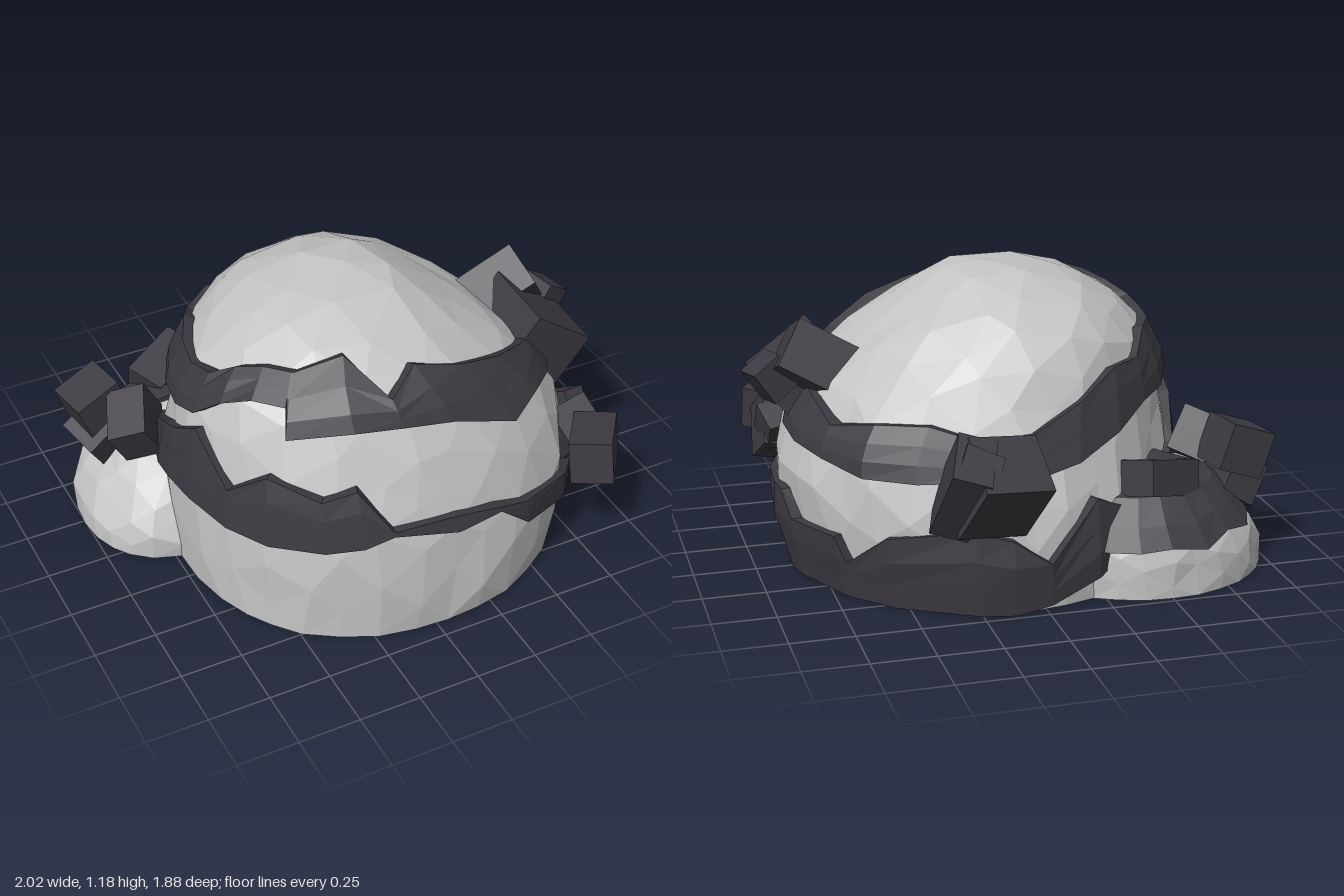
import * as THREE from 'three';
import { mergeVertices } from 'three/addons/utils/BufferGeometryUtils.js';

const rockGrey = new THREE.MeshStandardMaterial({ color: 0xc5c5c5, flatShading: true });
rockGrey.name = 'rock grey';
const darkStone = new THREE.MeshStandardMaterial({ color: 0x3d3b42, flatShading: true });
darkStone.name = 'dark stone';

// Outlines by height: [y, xMin, xMax, zMin, zMax]; roundness every 45 degrees, low and high
const BOULDER = {
  rows: [
    [0, -0.73, 0.83, -0.71, 0.93], [0.2, -0.74, 0.87, -0.73, 0.94], [0.4, -0.73, 0.86, -0.69, 0.92],
    [0.6, -0.71, 0.81, -0.61, 0.88], [0.8, -0.67, 0.67, -0.53, 0.79], [0.95, -0.59, 0.49, -0.45, 0.71],
    [1.05, -0.47, 0.33, -0.36, 0.57], [1.12, -0.34, 0.24, -0.22, 0.45], [1.165, -0.18, 0.16, -0.09, 0.31],
    [1.18, 0, 0.02, 0.1, 0.12],
  ],
  lowPlan: [1, 1.04, 1, 1.05, 1, 0.96, 0.99, 0.97],
  highPlan: [1, 1.08, 1, 1.05, 1, 0.97, 1, 1.08],
  detail: 5, seed: 7,
};
const LOBE = {
  rows: [
    [0, -1, 0, -0.73, 0.15], [0.1, -0.99, 0, -0.74, 0.15], [0.2, -0.93, -0.04, -0.72, 0.1],
    [0.3, -0.84, -0.1, -0.66, 0.04], [0.38, -0.75, -0.2, -0.57, -0.03],
    [0.43, -0.65, -0.33, -0.45, -0.15], [0.45, -0.51, -0.49, -0.31, -0.29],
  ],
  lowPlan: [1, 1, 1, 1.11, 1, 1, 1, 1],
  highPlan: [1, 1, 1, 1.05, 1, 1, 1, 1],
  detail: 4, seed: 23,
};

function seeded(seed) {
  return () => {
    seed = (seed * 16807) % 2147483647;
    return seed / 2147483647;
  };
}

// Point on a rock at angle a (degrees, 0 = +x, 90 = +z) and height y, pushed out by off
function surfacePoint({ rows, lowPlan, highPlan }, a, y, off, scale = 1) {
  let k = 0;
  while (k < rows.length - 2 && rows[k + 1][0] < y) k++;
  const t = THREE.MathUtils.clamp((y - rows[k][0]) / (rows[k + 1][0] - rows[k][0]), 0, 1);
  const [x0, x1, z0, z1] = [1, 2, 3, 4].map((i) => THREE.MathUtils.lerp(rows[k][i], rows[k + 1][i], t));
  const turn = (((a % 360) + 360) % 360) / 45;
  const i = Math.floor(turn);
  const high = THREE.MathUtils.smoothstep(y, 0.1, 0.7);
  const plan = (n) => THREE.MathUtils.lerp(lowPlan[n % 8], highPlan[n % 8], high);
  const round = THREE.MathUtils.lerp(plan(i), plan(i + 1), turn - i) * scale;
  const r = THREE.MathUtils.degToRad(a);
  const top = rows[rows.length - 1][0];
  return [
    (x0 + x1) / 2 + ((x1 - x0) / 2 + off) * round * Math.cos(r),
    y + off * 0.6 * (y / top) ** 3,
    (z0 + z1) / 2 + ((z1 - z0) / 2 + off) * round * Math.sin(r),
  ];
}

// Faceted rock: a jittered ball moved onto the outlines, its lower half pressed into a flat base
function makeRock(name, shape) {
  const rnd = seeded(shape.seed);
  const ball = new THREE.IcosahedronGeometry(1, shape.detail);
  ball.deleteAttribute('normal');
  ball.deleteAttribute('uv');
  const g = mergeVertices(ball, 1e-4);
  const pos = g.attributes.position;
  const top = shape.rows[shape.rows.length - 1][0];
  const v = new THREE.Vector3();
  const wobble = () => (rnd() - 0.5) * 0.08;
  for (let i = 0; i < pos.count; i++) {
    v.fromBufferAttribute(pos, i);
    const onBase = v.y < 0.06;
    if (!onBase) v.add(new THREE.Vector3(wobble(), wobble() * 0.6, wobble())).normalize();
    const a = THREE.MathUtils.radToDeg(Math.atan2(v.z, v.x));
    const p = onBase
      ? surfacePoint(shape, a, 0, 0, Math.hypot(v.x, v.z))
      : surfacePoint(shape, a, top * v.y, (rnd() - 0.5) * 0.025 * (1 - v.y ** 4));
    pos.setXYZ(i, ...p);
  }
  g.computeVertexNormals();
  const mesh = new THREE.Mesh(g, rockGrey);
  mesh.name = name;
  return mesh;
}

// Raised dark slab following a rock; table rows are [angle, lower y, upper y]
function makeBand(name, shape, table, closed) {
  const points = [], index = [], m = 6, n = table.length;
  for (const [a, lo, hi] of table) {
    const at = (t, off) => points.push(...surfacePoint(shape, a, lo + (hi - lo) * t, off));
    at(0, -0.04);
    for (let i = 0; i < 4; i++) at(i / 3, 0.035);
    at(1, -0.04);
  }
  for (let j = 0; j < (closed ? n : n - 1); j++) {
    const p = j * m, q = ((j + 1) % n) * m;
    for (let s = 0; s < m; s++) {
      const s1 = (s + 1) % m;
      index.push(p + s, p + s1, q + s, q + s, p + s1, q + s1);
    }
  }
  if (!closed) {
    const e = (n - 1) * m;
    for (let s = 1; s < m - 1; s++) index.push(0, s + 1, s, e, e + s, e + s + 1);
  }
  const g = new THREE.BufferGeometry();
  g.setAttribute('position', new THREE.Float32BufferAttribute(points, 3));
  g.setIndex(index);
  g.computeVertexNormals();
  const mesh = new THREE.Mesh(g, darkStone);
  mesh.name = name;
  return mesh;
}

const UPPER_BAND = [
  [0, 0.56, 0.72], [20, 0.68, 0.8], [30, 0.71, 0.85], [45, 0.77, 0.93], [60, 0.75, 0.98], [78, 0.85, 1.03],
  [95, 0.88, 0.97], [112, 0.89, 1.08], [134, 0.86, 1.04], [135, 0.96, 1.04], [148, 0.95, 1.03], [160, 0.89, 1.0],
  [170, 0.8, 0.95], [182, 0.75, 0.92], [195, 0.74, 0.92], [210, 0.7, 0.93], [225, 0.69, 0.85], [240, 0.62, 0.85],
  [255, 0.55, 0.76], [270, 0.51, 0.67], [285, 0.52, 0.66], [300, 0.51, 0.71], [315, 0.51, 0.7], [330, 0.54, 0.66],
  [345, 0.55, 0.71],
];
const LOWER_BAND = [
  [0, 0.17, 0.32], [20, 0.17, 0.28], [33, 0.2, 0.3], [48, 0.28, 0.4], [67, 0.35, 0.45], [76, 0.47, 0.49],
  [89, 0.45, 0.52], [107, 0.5, 0.52], [115, 0.46, 0.69], [125, 0.44, 0.65], [140, 0.43, 0.71], [153, 0.43, 0.6],
  [168, 0.44, 0.75], [180, 0.42, 0.66], [190, 0.38, 0.6], [205, 0.3, 0.46], [220, 0.25, 0.36], [235, 0.2, 0.32],
  [250, 0.1, 0.41], [265, 0.03, 0.2], [275, 0, 0.3], [285, 0, 0.34], [309, 0, 0.29], [323, 0, 0.15],
  [326, 0, 0.25], [345, 0, 0.24], [352, 0, 0.33], [356, 0.16, 0.33],
];
const LOBE_CAP = [
  [190, 0.27, 0.45], [204, 0.24, 0.45], [218, 0.21, 0.45], [235, 0.23, 0.45], [252, 0.19, 0.45], [270, 0.21, 0.45],
  [285, 0.2, 0.45], [300, 0.2, 0.45], [318, 0.2, 0.45],
];

// Angular blocks: [x, y, z, width, height, depth, rotX, rotY, rotZ in degrees]
const BLOCKS = {
  rightUpperBlocks: [
    [0.75, 0.73, 0.26, 0.31, 0.26, 0.33, 4, 0, -36],
    [0.73, 0.82, 0.08, 0.27, 0.21, 0.2, 24, 5, 30],
    [0.9, 0.76, 0.11, 0.13, 0.15, 0.14, 5, 15, -35],
  ],
  rightFrontBlocks: [
    [0.79, 0.46, 0.75, 0.17, 0.18, 0.25, -8, -37, 2],
    [0.81, 0.41, 0.55, 0.17, 0.22, 0.18, 35, 10, 5],
    [0.84, 0.45, 0.46, 0.1, 0.14, 0.14, -35, 15, 0],
  ],
  backBlocks: [
    [0.2, 0.52, -0.72, 0.28, 0.3, 0.25, -38, 5, 12],
    [0.33, 0.53, -0.72, 0.15, 0.34, 0.22, -32, -18, 8],
    [0.3, 0.6, -0.79, 0.15, 0.14, 0.14, -40, -25, 10],
  ],
  leftBlocks: [
    [-0.87, 0.48, -0.39, 0.2, 0.19, 0.19, 0, 10, 20],
    [-0.87, 0.34, -0.36, 0.16, 0.17, 0.19, 10, 15, 30],
    [-0.77, 0.47, -0.2, 0.16, 0.19, 0.22, 25, -20, 30],
  ],
  lobeBlocks: [[-0.5, 0.43, -0.54, 0.27, 0.14, 0.17, 15, 30, 5]],
};

export function createModel() {
  const model = new THREE.Group();
  model.name = 'bandedBoulder';
  model.add(
    makeRock('mainBoulder', BOULDER),
    makeRock('sideLobe', LOBE),
    makeBand('upperBand', BOULDER, UPPER_BAND, true),
    makeBand('lowerBand', BOULDER, LOWER_BAND, true),
    makeBand('lobeCap', LOBE, LOBE_CAP, false),
  );
  for (const [name, list] of Object.entries(BLOCKS)) {
    const cluster = new THREE.Group();
    cluster.name = name;
    for (const [x, y, z, w, h, d, ...turn] of list) {
      const block = new THREE.Mesh(new THREE.BoxGeometry(w, h, d), darkStone);
      block.name = 'block';
      block.position.set(x, y, z);
      block.rotation.set(...turn.map(THREE.MathUtils.degToRad));
      cluster.add(block);
    }
    model.add(cluster);
  }
  return model;
}
